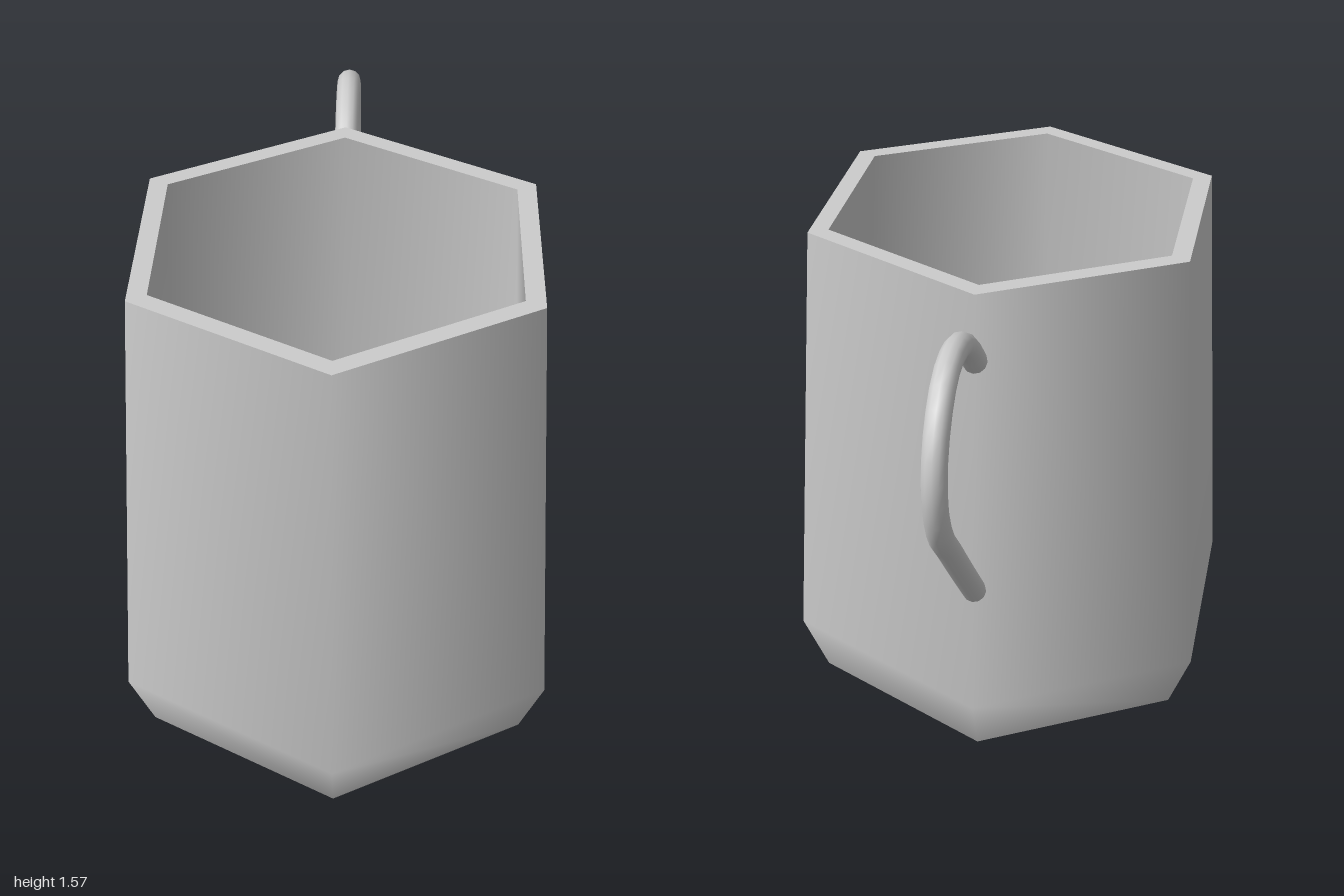
import * as THREE from 'three';

const material = new THREE.MeshStandardMaterial({ color: 0xcccccc, side: THREE.DoubleSide });
const BODY_Z = 0.26;
const RADIUS = 0.66, HEIGHT = 1.57; // corner radius at rim and base

// Six-sided ring of surface, smooth within itself and sharp against its neighbours
function hexSurface(name, profile) {
  const points = profile.map(([r, y]) => new THREE.Vector2(r, y));
  const mesh = new THREE.Mesh(new THREE.LatheGeometry(points, 6), material);
  mesh.name = name;
  return mesh;
}

export function createModel() {
  const model = new THREE.Group();
  model.name = 'mug';

  // Hexagonal body, each profile running from the base up and over the rim
  const body = new THREE.Group();
  body.name = 'body';
  body.position.z = BODY_Z;
  body.add(
    hexSurface('base', [[0, 0], [RADIUS, 0]]),
    hexSurface('outerWall', [[RADIUS, 0], [0.74, 0.19], [RADIUS, HEIGHT]]),
    hexSurface('rim', [[RADIUS, HEIGHT], [0.595, HEIGHT]]),
    hexSurface('innerWall', [[0.595, HEIGHT], [0.672, 0.2], [0.62, 0.065]]),
    hexSurface('innerFloor', [[0.62, 0.065], [0, 0.065]]),
  );
  model.add(body);

  // Handle: an arch from the upper back corner running into a straight lower arm
  const arch = [
    [-0.4, 1.36], [-0.5, 1.45], [-0.6, 1.513], [-0.71, 1.535], [-0.81, 1.518], [-0.89, 1.46],
    [-0.945, 1.375], [-0.965, 1.28], [-0.95, 1.18], [-0.9, 1.08],
    [-0.79, 0.965], [-0.67, 0.84], [-0.55, 0.717], [-0.435, 0.6],
  ].map(([z, y]) => new THREE.Vector3(0, y, z));
  const path = new THREE.CatmullRomCurve3(arch);
  const handle = new THREE.Group();
  handle.name = 'handle';
  const grip = new THREE.Mesh(new THREE.TubeGeometry(path, 26, 0.037, 12), material);
  grip.name = 'grip';
  handle.add(grip);

  // Flat caps closing both ends of the handle
  for (const t of [0, 1]) {
    const cap = new THREE.Mesh(new THREE.CircleGeometry(0.037, 12), material);
    cap.name = t ? 'lowerEnd' : 'upperEnd';
    const end = path.getPointAt(t);
    cap.position.copy(end);
    cap.lookAt(end.clone().addScaledVector(path.getTangentAt(t), t ? 1 : -1));
    handle.add(cap);
  }
  model.add(handle);
  return model;
}
